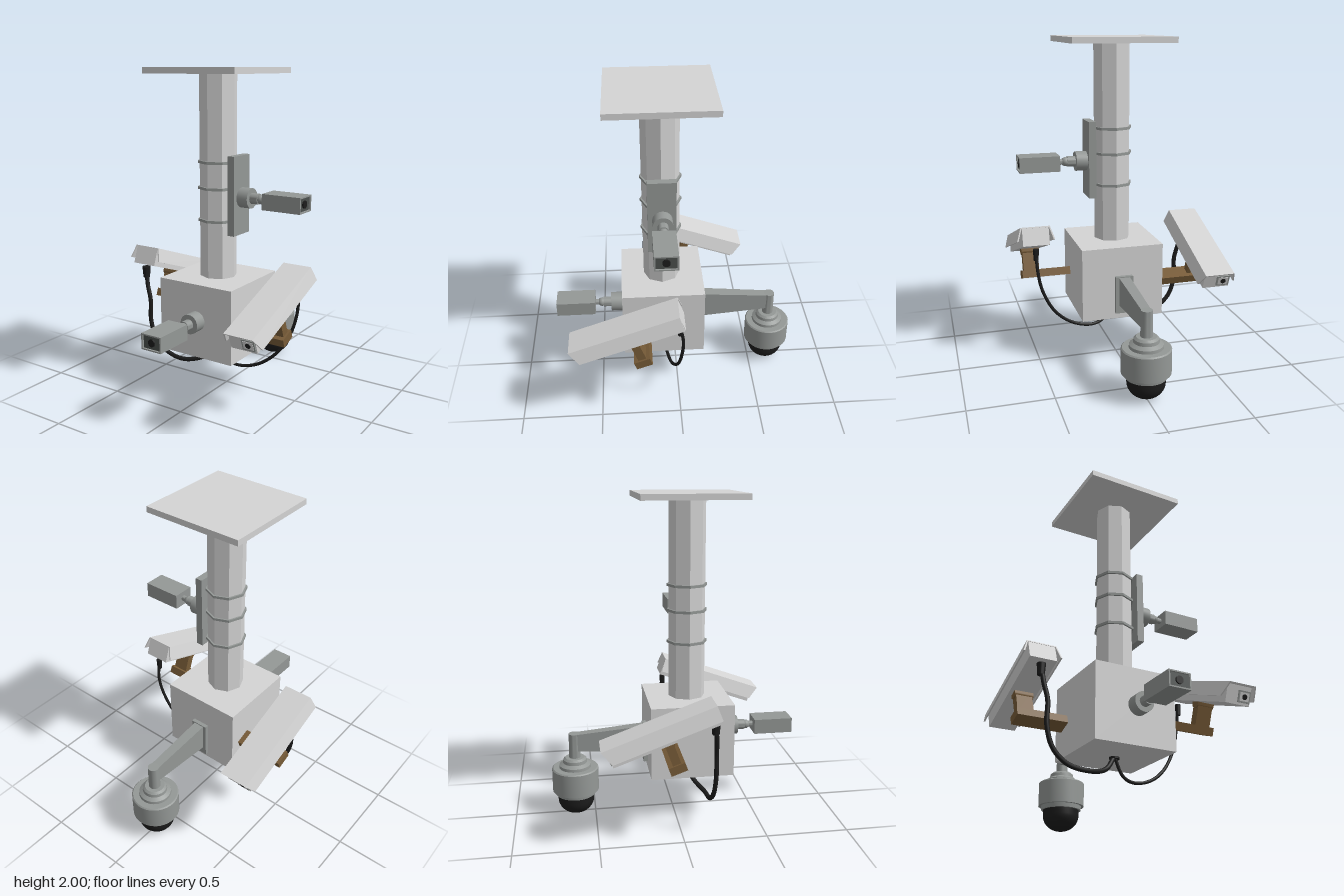
import * as THREE from 'three';
import { toCreasedNormals } from 'three/addons/utils/BufferGeometryUtils.js';

const material = (name, color) => {
  const m = new THREE.MeshStandardMaterial({ color });
  m.name = name;
  return m;
};

export function createModel() {
  const light = material('light grey paint', 0xd4d4d4);
  const grey = material('mid grey metal', 0x949896);
  const dark = material('dark grey recess', 0x4c504e);
  const brown = material('brown bracket', 0x785c38);
  const black = material('black plastic', 0x1c1c1c);

  const root = new THREE.Group();
  root.name = 'cameraCluster';
  const Z = 0.09; // pole axis

  function add(parent, name, geo, mat, x = 0, y = 0, z = 0) {
    const mesh = new THREE.Mesh(geo, mat);
    mesh.name = name;
    mesh.position.set(x, y, z);
    parent.add(mesh);
    return mesh;
  }
  const box = (w, h, d) => new THREE.BoxGeometry(w, h, d);
  const cyl = (r1, r2, h, n = 24) => toCreasedNormals(new THREE.CylinderGeometry(r1, r2, h, n), 0.6);
  // Cylinder lying along z between two depths
  const rod = (r1, r2, z0, z1) => cyl(r1, r2, z1 - z0).rotateX(Math.PI / 2).translate(0, 0, (z0 + z1) / 2);
  function group(name, x, y, z, parent = root) {
    const g = new THREE.Group();
    g.name = name;
    g.position.set(x, y, z);
    parent.add(g);
    return g;
  }

  // Ceiling plate, octagonal pole, junction box
  add(root, 'ceilingPlate', box(0.62, 0.035, 0.62), light, 0, 1.9825, Z);
  add(root, 'pole', cyl(0.113, 0.113, 1.22, 8), light, 0, 1.36, Z);
  add(root, 'junctionBox', box(0.51, 0.455, 0.51), light, 0, 0.5275, Z);

  // Clamp bands and the plate they hold
  for (const y of [1.105, 1.3, 1.455]) add(root, 'clampBand', cyl(0.124, 0.124, 0.016, 8), grey, 0, y, Z);
  add(root, 'sidePlate', box(0.045, 0.47, 0.17), grey, 0.1425, 1.265, Z);

  // Small box camera on a swivel mount, pointing along +z from the wall
  function boxCamera(name, x, y, z, turn) {
    const g = group(name, x, y, z);
    g.rotation.y = turn;
    add(g, 'wallMount', rod(0.06, 0.06, -0.01, 0.07), grey);
    add(g, 'neck', rod(0.032, 0.032, 0.07, 0.12), grey);
    add(g, 'swivelBall', new THREE.SphereGeometry(0.028, 20, 14), grey, 0, 0, 0.13);
    add(g, 'stem', rod(0.018, 0.018, 0.12, 0.18), grey);
    add(g, 'body', box(0.135, 0.094, 0.23), grey, 0, 0, 0.29);
    const rim = new THREE.Shape([[-0.0675, -0.047], [0.0675, -0.047], [0.0675, 0.047], [-0.0675, 0.047]].map(p => new THREE.Vector2(...p)));
    rim.holes.push(new THREE.Path([[-0.059, -0.039], [-0.059, 0.039], [0.059, 0.039], [0.059, -0.039]].map(p => new THREE.Vector2(...p))));
    add(g, 'frontRim', new THREE.ExtrudeGeometry(rim, { depth: 0.016, bevelEnabled: false }), grey, 0, 0, 0.404);
    add(g, 'frontPanel', box(0.118, 0.078, 0.004), dark, 0, 0, 0.407);
    add(g, 'lens', rod(0.022, 0.022, 0.4, 0.418), black);
  }
  boxCamera('frontCamera', 0.01, 0.53, 0.35, 0);
  boxCamera('sideCamera', 0.165, 1.253, 0.088, Math.PI / 2);

  // Hooded camera: origin at the rear top edge of the hood, pointing along +z
  const hoodProfile = new THREE.Shape([
    [-0.09, 0], [-0.117, -0.085], [-0.108, -0.085], [-0.084, -0.008],
    [0.084, -0.008], [0.108, -0.085], [0.117, -0.085], [0.09, 0],
  ].map(p => new THREE.Vector2(...p)));
  function hoodedCamera(name, turn) {
    const pivot = group(name, 0, 0, Z);
    pivot.rotation.y = turn;
    const g = group('tiltedHousing', 0.503, 0.875, 0.017 - Z, pivot);
    g.rotation.x = THREE.MathUtils.degToRad(20);
    // Hood front edge slopes back toward the bottom
    let hood = new THREE.ExtrudeGeometry(hoodProfile, { depth: 0.688, bevelEnabled: false });
    const p = hood.attributes.position;
    for (let i = 0; i < p.count; i++) if (p.getZ(i) > 0.3) p.setZ(i, p.getZ(i) + p.getY(i) * 0.42);
    hood.computeVertexNormals();
    add(g, 'hood', hood, light);
    add(g, 'body', box(0.164, 0.11, 0.655), light, 0, -0.061, 0.3295);
    add(g, 'windowFrame', box(0.08, 0.068, 0.008), grey, 0.037, -0.068, 0.66);
    add(g, 'window', box(0.062, 0.05, 0.004), light, 0.037, -0.068, 0.664);
    add(g, 'lens', rod(0.016, 0.016, 0.655, 0.669), black, 0.037, -0.068, 0);
    // Bracket
    add(g, 'bracketArm', box(0.325, 0.05, 0.1), brown, -0.1, -0.28, 0.328);
    add(g, 'bracketPost', box(0.1, 0.16, 0.05), brown, 0, -0.185, 0.325);
    add(g, 'bracketHinge', cyl(0.03, 0.03, 0.114).rotateZ(Math.PI / 2), brown, 0, -0.125, 0.323);
  }
  hoodedCamera('leftHoodedCamera', 0);
  hoodedCamera('rightHoodedCamera', Math.PI);

  // Hanging cables from the housings to the bottom of the box
  function cable(name, radius, points) {
    const curve = new THREE.CatmullRomCurve3(points.map(q => new THREE.Vector3(...q)));
    add(root, name, new THREE.TubeGeometry(curve, 60, radius, 10), black);
    const [x, y, z] = points[0];
    add(root, name + 'Plug', cyl(radius * 1.9, radius * 1.5, 0.07), black, x, y - 0.02, z);
  }
  cable('rightCable', 0.014, [[-0.505, 0.73, 0.175], [-0.49, 0.63, 0.185], [-0.465, 0.53, 0.19], [-0.465, 0.39, 0.19],
    [-0.425, 0.27, 0.185], [-0.335, 0.195, 0.18], [-0.2, 0.175, 0.175], [-0.07, 0.215, 0.12], [0, 0.305, 0.09]]);
  cable('leftCable', 0.01, [[0.505, 0.72, 0.005], [0.5, 0.6, -0.013], [0.47, 0.46, -0.005], [0.39, 0.31, 0.015],
    [0.27, 0.21, 0.045], [0.14, 0.175, 0.065], [0.06, 0.2, 0.08], [0, 0.305, 0.09]]);
  add(root, 'cableGland', cyl(0.03, 0.03, 0.016), black, 0, 0.297, Z);

  // Rear dome camera on a tapered arm
  const dome = group('domeCamera', -0.003, 0, -0.62);
  add(dome, 'wallPlate', box(0.11, 0.235, 0.03), grey, 0, 0.4575, 0.445);
  const arm = box(1, 1, 1);
  const ap = arm.attributes.position;
  for (let i = 0; i < ap.count; i++) {
    const far = ap.getZ(i) < 0;
    const up = ap.getY(i) > 0;
    ap.setXYZ(i, ap.getX(i) * (far ? 0.056 : 0.068), far ? (up ? 0.53 : 0.425) : (up ? 0.57 : 0.39), far ? 0 : 0.44);
  }
  arm.computeVertexNormals();
  add(dome, 'arm', arm, grey);
  add(dome, 'dropPipe', cyl(0.034, 0.036, 0.17), grey, 0, 0.448, 0);
  const lathe = pts => toCreasedNormals(new THREE.LatheGeometry(pts.map(q => new THREE.Vector2(...q)), 40), 0.6);
  add(dome, 'housing', lathe([[0, 0.135], [0.125, 0.135], [0.128, 0.16], [0.145, 0.16], [0.145, 0.305], [0.138, 0.312],
    [0.1, 0.312], [0.098, 0.33], [0.076, 0.345], [0.073, 0.365], [0.06, 0.377], [0, 0.377]]), grey);
  const bubble = [[0, 0.003]];
  for (let i = 1; i <= 10; i++) {
    const a = (i / 10) * Math.PI / 2;
    bubble.push([0.113 * Math.sin(a), 0.1 - 0.097 * Math.cos(a)]);
  }
  bubble.push([0.113, 0.14]);
  add(dome, 'domeBubble', lathe(bubble), black);

  return root;
}
